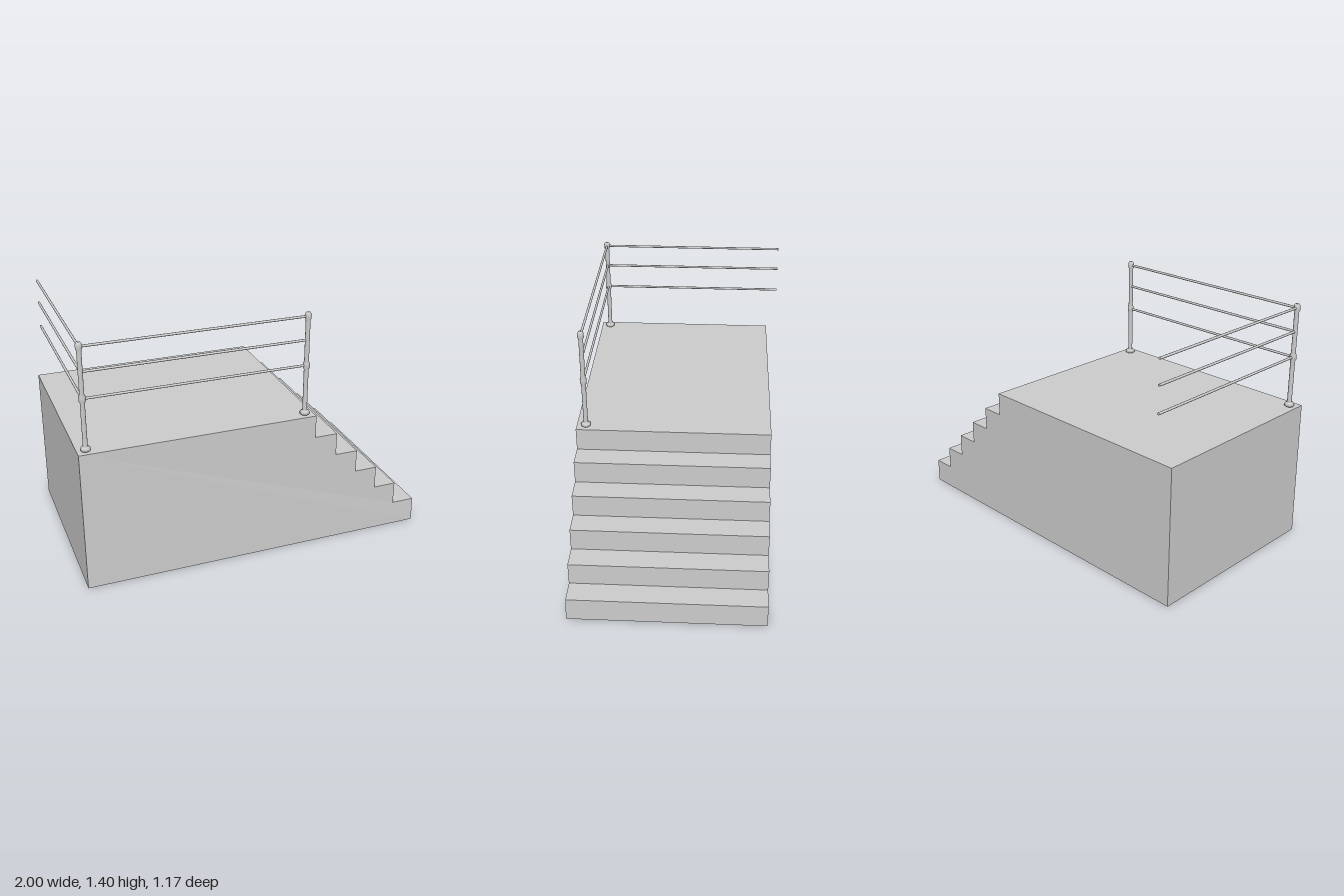
import * as THREE from 'three';

const TOP = 0.807, STEP = 0.1333, BACK = -0.53, FRONT = 0.57;
const POST_Z = 0.518, POST_X = [-0.951, 0.284], RAIL_Y = [1.098, 1.245, 1.38];

export function createModel() {
  const model = new THREE.Group();
  const metal = new THREE.MeshStandardMaterial({ color: 0xcccccc });
  const stone = new THREE.MeshStandardMaterial({ color: 0xcccccc, side: THREE.DoubleSide, flatShading: true });
  const add = (name, geometry, material, x = 0, y = 0, z = 0) => {
    const mesh = new THREE.Mesh(geometry, material);
    mesh.name = name;
    mesh.position.set(x, y, z);
    model.add(mesh);
    return mesh;
  };

  // Stepped outline, from the foot of the stairs up and over to the far end
  const outline = [[1, 0]];
  for (let i = 5; i >= 0; i--) {
    const y = TOP - STEP * i;
    outline.push([i === 5 ? 1 : 0.3335 + STEP * i, y]);
    outline.push([i === 0 ? -1 : 0.3335 + STEP * (i - 1), y]);
  }
  outline.push([-1, 0]);

  // The front wall leans out slightly towards its foot
  const frontZ = (x, y) => (y > 0.01 ? FRONT : x < 0 ? 0.583 : 0.575);

  // Treads, risers, deck and end wall: a strip along the outline, open below
  const positions = [], index = [];
  outline.slice(0, -1).forEach(([x0, y0], i) => {
    const [x1, y1] = outline[i + 1], n = i * 4;
    positions.push(x0, y0, frontZ(x0, y0), x0, y0, BACK, x1, y1, BACK, x1, y1, frontZ(x1, y1));
    index.push(n, n + 1, n + 2, n, n + 2, n + 3);
  });
  const strip = new THREE.BufferGeometry();
  strip.setAttribute('position', new THREE.Float32BufferAttribute(positions, 3));
  strip.setIndex(index);
  strip.computeVertexNormals();
  add('stepsAndDeck', strip, stone);

  // Side walls
  const shape = new THREE.Shape(outline.map(([x, y]) => new THREE.Vector2(x, y)));
  const frontWall = new THREE.ShapeGeometry(shape);
  const p = frontWall.attributes.position;
  for (let i = 0; i < p.count; i++) p.setZ(i, frontZ(p.getX(i), p.getY(i)));
  frontWall.computeVertexNormals();
  add('frontWall', frontWall, stone);
  const backWall = new THREE.ShapeGeometry(shape);
  backWall.scale(-1, 1, 1).rotateY(Math.PI);
  add('backWall', backWall, stone, 0, 0, BACK);

  // Turned posts with a foot, a middle collar and a top knob
  const profile = [
    [0, 0], [0.027, 0], [0.027, 0.014], [0.02, 0.022], [0.013, 0.024],
    [0.013, 0.266], [0.019, 0.28], [0.019, 0.302], [0.013, 0.316],
    [0.013, 0.55], [0.018, 0.561], [0.018, 0.584], [0.012, 0.595], [0, 0.595],
  ].map(([r, y]) => new THREE.Vector2(r, y));
  const post = new THREE.LatheGeometry(profile, 12);
  POST_X.forEach((x) => add('railingPost', post, metal, x, TOP, POST_Z));

  // Three rails along the front and three along the end
  const frontLength = POST_X[1] - POST_X[0], endLength = POST_Z + 0.583;
  const frontRail = new THREE.CylinderGeometry(0.007, 0.007, frontLength, 10).rotateZ(Math.PI / 2);
  const endRail = new THREE.CylinderGeometry(0.007, 0.007, endLength, 10).rotateX(Math.PI / 2);
  RAIL_Y.forEach((y) => {
    add('frontRail', frontRail, metal, (POST_X[0] + POST_X[1]) / 2, y, POST_Z);
    add('endRail', endRail, metal, POST_X[0], y, POST_Z - endLength / 2);
  });

  return model;
}
